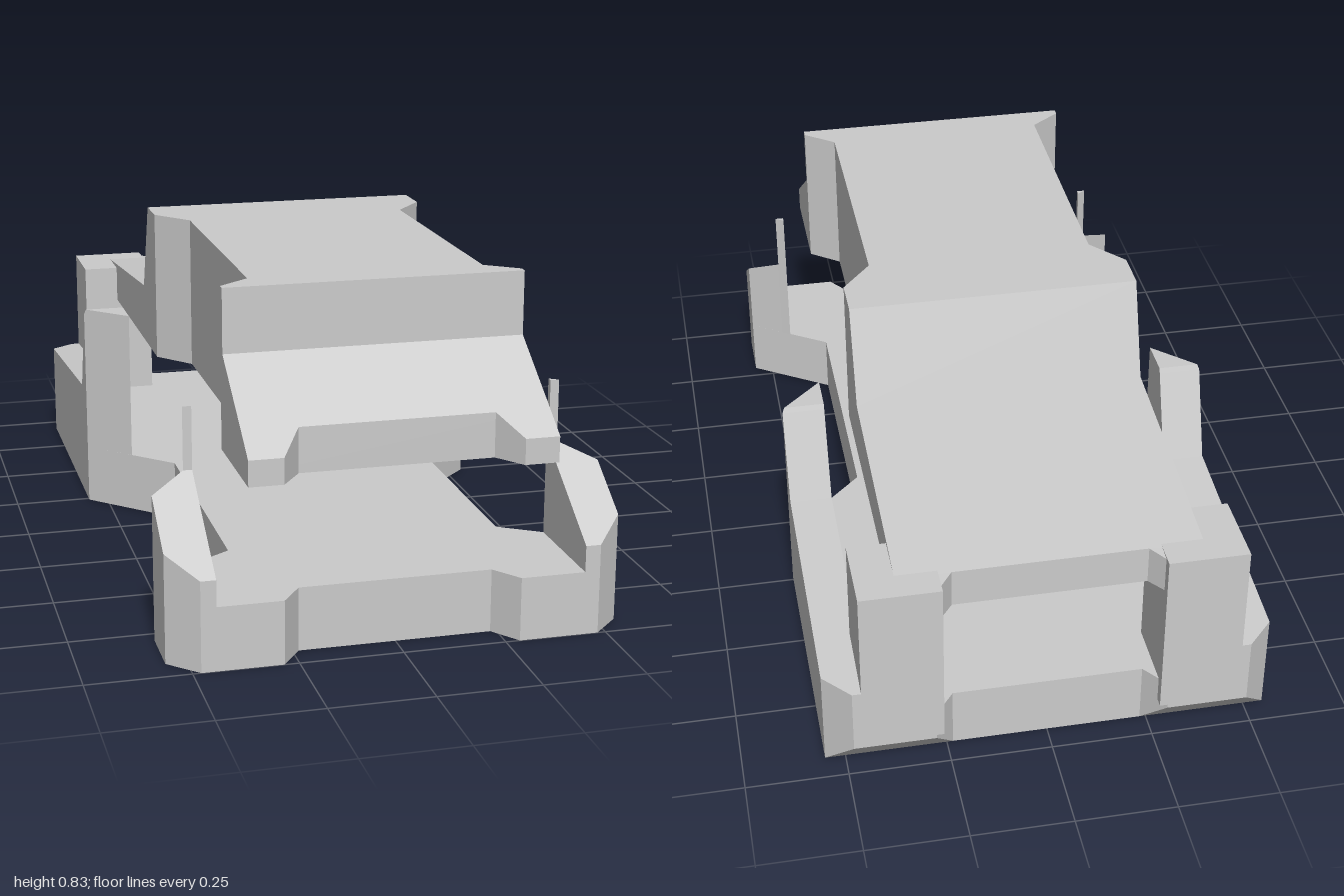
import * as THREE from 'three';

const material = new THREE.MeshStandardMaterial({ color: 0xcccccc, flatShading: true });

// Lofts rectangular sections [z, x0, x1, y0, y1], ordered from back to front.
function loft(sections) {
  const rings = sections.map(([z, x0, x1, y0, y1]) => [
    new THREE.Vector3(x0, y0, z), new THREE.Vector3(x1, y0, z),
    new THREE.Vector3(x1, y1, z), new THREE.Vector3(x0, y1, z),
  ]);
  const points = [];
  const tri = (a, b, c) => {
    if (new THREE.Triangle(a, b, c).getArea() > 1e-7) points.push(a, b, c);
  };
  const quad = (a, b, c, d) => { tri(a, b, c); tri(a, c, d); };
  for (let i = 0; i < rings.length - 1; i++) {
    for (let j = 0; j < 4; j++) {
      const k = (j + 1) % 4;
      quad(rings[i][j], rings[i][k], rings[i + 1][k], rings[i + 1][j]);
    }
  }
  const [a, b, c, d] = rings[0];
  quad(d, c, b, a);
  quad(...rings[rings.length - 1]);
  const geometry = new THREE.BufferGeometry().setFromPoints(points);
  geometry.computeVertexNormals();
  return geometry;
}

export function createModel() {
  const model = new THREE.Group();
  model.name = 'vehicleShell';

  const add = (name, sections) => {
    const mesh = new THREE.Mesh(loft(sections), material);
    mesh.name = name;
    model.add(mesh);
  };
  // Centred part: [z, halfWidth, y0, y1]
  const addCentred = (name, rows) =>
    add(name, rows.map(([z, w, y0, y1]) => [z, -w, w, y0, y1]));
  // Part on the left (+x), repeated on the right
  const addPair = (name, rows) => {
    add(name + 'Left', rows);
    add(name + 'Right', rows.map(([z, x0, x1, y0, y1]) => [z, -x1, -x0, y0, y1]));
  };

  // Lower half: floor slab with narrow waist
  const floor = 0.157;
  addCentred('floor', [
    [-0.935, 0.55, 0, floor], [-0.24, 0.55, 0, floor], [-0.035, 0.342, 0, floor],
    [0.655, 0.342, 0, floor], [0.79, 0.55, 0, floor], [0.93, 0.55, 0, floor],
  ]);
  addPair('floorFrontHorn', [
    [0.93, 0.235, 0.55, 0, floor], [1, 0.285, 0.48, 0, floor],
  ]);
  addPair('floorRearHorn', [
    [-1, 0.285, 0.485, 0.08, floor], [-0.935, 0.235, 0.55, 0, floor],
  ]);

  // Side walls standing on the floor
  addPair('rearWall', [
    [-1, 0.443, 0.485, floor, 0.252], [-0.935, 0.443, 0.55, floor, 0.258],
    [-0.32, 0.443, 0.55, floor, 0.315], [-0.24, 0.443, 0.55, floor, 0.54],
    [-0.235, 0.443, 0.545, floor, 0.553], [-0.135, 0.443, 0.443, floor, 0.553],
  ]);
  addPair('frontWall', [
    [0.72, 0.443, 0.443, floor, 0.553], [0.735, 0.443, 0.465, floor, 0.553],
    [0.735, 0.443, 0.465, floor, 0.397], [0.79, 0.443, 0.55, floor, 0.36],
    [0.93, 0.443, 0.55, floor, 0.268], [1, 0.443, 0.48, floor, 0.222],
  ]);

  // Upper half: cab, bonnet and tail floating above the floor
  const base = 0.435;
  addCentred('upperBody', [
    [-0.935, 0.368, base, 0.533], [-0.32, 0.368, base, 0.592],
    [-0.235, 0.368, base, 0.83], [-0.13, 0.368, base, 0.83],
    [-0.035, 0.29, base, 0.83], [0.655, 0.29, base, 0.83],
    [0.715, 0.368, base, 0.83], [0.735, 0.368, base, 0.83],
    [0.735, 0.368, base, 0.672], [0.93, 0.368, base, 0.545],
  ]);
  addPair('upperFrontHorn', [
    [0.93, 0.235, 0.368, base, 0.545], [1, 0.285, 0.368, base, 0.498],
  ]);
  addPair('upperRearHorn', [
    [-1, 0.285, 0.368, base, 0.527], [-0.935, 0.235, 0.368, base, 0.533],
  ]);

  // Corner posts joining both halves at the back
  addPair('rearPost', [
    [-1, 0.266, 0.463, 0.09, 0.534], [-0.803, 0.266, 0.463, 0.09, 0.534],
  ]);

  return model;
}
